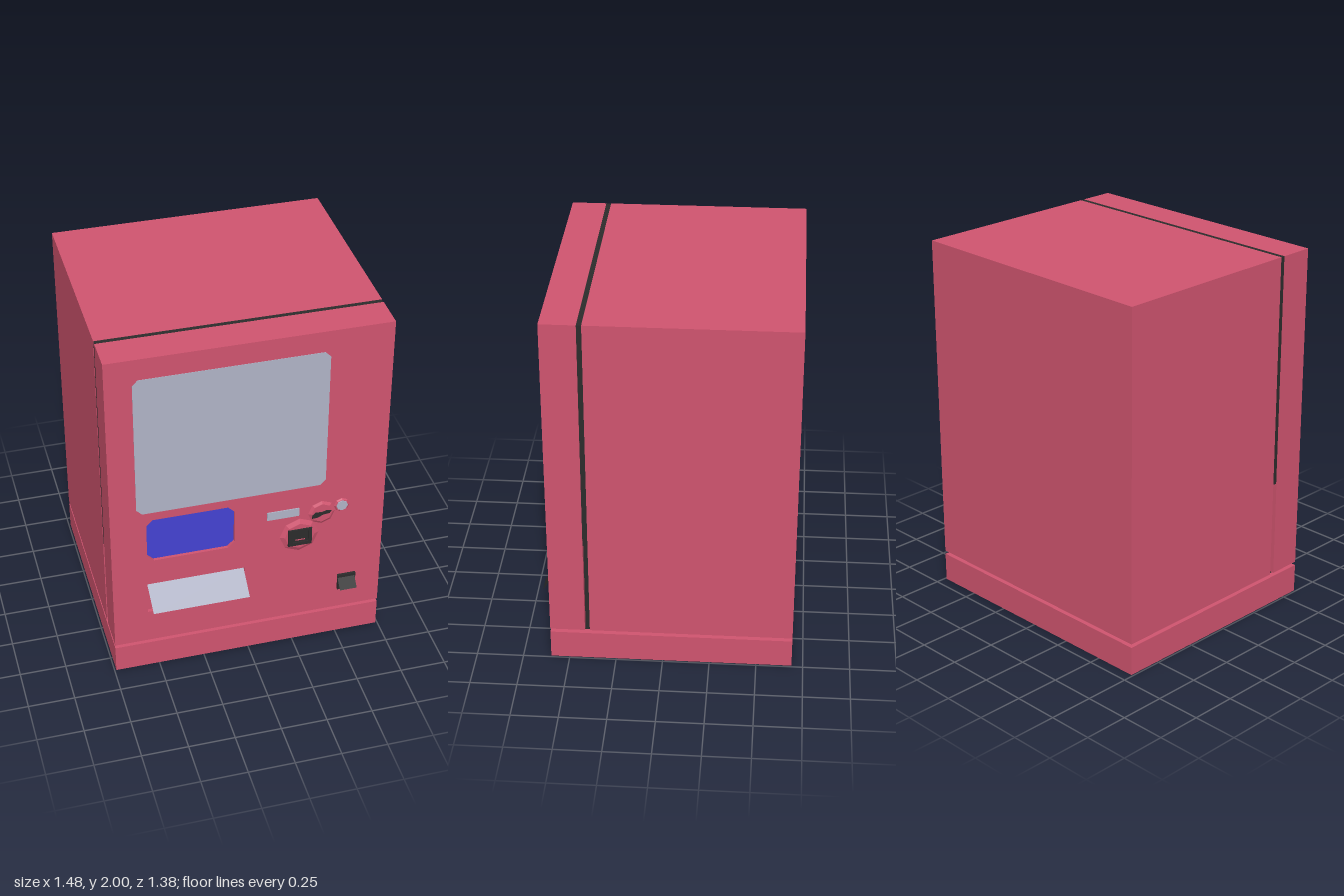
import * as THREE from 'three';

const mat = (name, color, side = THREE.FrontSide) => {
  const m = new THREE.MeshStandardMaterial({ color, side });
  m.name = name;
  return m;
};

export function createModel() {
  const group = new THREE.Group();
  const red = mat('red paint', 0xd0546f);
  const black = mat('black rubber', 0x2c2c2c, THREE.DoubleSide);
  const grey = mat('pale grey glass', 0xb0b3c6, THREE.DoubleSide);
  const blue = mat('blue panel', 0x4542d2);

  const add = (name, geometry, material) => {
    const mesh = new THREE.Mesh(geometry, material);
    mesh.name = name;
    group.add(mesh);
    return mesh;
  };
  // Box given by its limits on each axis
  const box = (name, x0, x1, y0, y1, z0, z1, material) =>
    add(name, new THREE.BoxGeometry(x1 - x0, y1 - y0, z1 - z0), material)
      .position.set((x0 + x1) / 2, (y0 + y1) / 2, (z0 + z1) / 2);
  // Corner points of a rectangle with cut corners
  const cutRect = (x0, x1, y0, y1, c) => [
    [x0 + c, y0], [x1 - c, y0], [x1, y0 + c], [x1, y1 - c],
    [x1 - c, y1], [x0 + c, y1], [x0, y1 - c], [x0, y0 + c],
  ].map(([x, y]) => new THREE.Vector2(x, y));
  const plate = (name, points, z, depth, material, holes = []) => {
    const shape = new THREE.Shape(points);
    shape.holes = holes.map((h) => new THREE.Path(h));
    add(name, new THREE.ExtrudeGeometry(shape, { depth, bevelEnabled: false }), material)
      .position.z = z;
  };
  // Eight-sided boss facing forward, tapering to the front
  const boss = (name, x, y, rBack, rFront, z0, z1, material) => {
    const g = new THREE.CylinderGeometry(rFront, rBack, z1 - z0, 8).toNonIndexed();
    g.rotateX(Math.PI / 2);
    g.computeVertexNormals();
    add(name, g, material).position.set(x, y, (z0 + z1) / 2);
  };
  // Thin tilted flap: top edge against the door, bottom edge swung out
  const flap = (name, x0, x1, yTop, yBottom, zOut, skew, material) => {
    const g = new THREE.PlaneGeometry(1, 1);
    const p = g.attributes.position;
    for (let i = 0; i < 4; i++) {
      const top = p.getY(i) > 0;
      const x = p.getX(i) < 0 ? x0 : x1;
      p.setXYZ(i, top ? x : x + skew, top ? yTop : yBottom, top ? 0.602 : zOut);
    }
    g.computeVertexNormals();
    add(name, g, material);
  };

  // Base, cabinet and the dark seams between them
  box('base', -0.74, 0.74, 0, 0.16, -0.69, 0.6, red);
  box('baseSeam', -0.705, 0.705, 0.16, 0.18, -0.66, 0.57, black);
  box('cabinet', -0.74, 0.74, 0.18, 2, -0.69, 0.388, red);
  box('doorSeamLower', -0.705, 0.705, 0.18, 0.72, 0.388, 0.414, black);
  box('doorSeamUpper', -0.738, 0.738, 0.72, 1.999, 0.388, 0.414, black);

  // Door with shallow recesses in its front skin
  const panel = cutRect(-0.55, -0.08, 0.73, 1.0, 0.035);
  const tray = cutRect(-0.555, -0.025, 0.38, 0.575, 0.001);
  box('door', -0.74, 0.74, 0.18, 2, 0.414, 0.58, red);
  plate('doorFront', cutRect(-0.74, 0.74, 0.18, 2, 0), 0.58, 0.02, red, [panel, tray]);
  plate('selectionPanel', panel, 0.58, 0.003, blue);
  plate('displayWindow', cutRect(-0.6, 0.41, 1.05, 1.88, 0.03), 0.598, 0.004, grey);

  // Delivery flap and coin return
  flap('deliveryFlap', -0.555, -0.03, 0.575, 0.44, 0.69, 0.012, grey);
  box('coinReturn', 0.5, 0.6, 0.31, 0.41, 0.6, 0.613, black);
  flap('coinReturnFlap', 0.497, 0.593, 0.41, 0.333, 0.65, 0.006, black);

  // Price display
  box('priceDisplay', 0.095, 0.27, 0.87, 0.92, 0.599, 0.606, grey);

  // Note acceptor with square frame and slot
  boss('noteBoss', 0.275, 0.737, 0.11, 0.082, 0.599, 0.612, red);
  plate('noteFrame', cutRect(0.21, 0.34, 0.68, 0.785, 0), 0.61, 0.01, black,
    [cutRect(0.235, 0.32, 0.7, 0.77, 0)]);
  box('noteMouth', 0.235, 0.32, 0.7, 0.77, 0.61, 0.614, black);
  box('noteSlot', 0.25, 0.303, 0.711, 0.717, 0.613, 0.616, red);

  // Coin slot with a curved handle
  boss('coinBoss', 0.395, 0.865, 0.076, 0.058, 0.599, 0.609, red);
  const handle = [[0.34, 0.84], [0.37, 0.842], [0.4, 0.857], [0.435, 0.86], [0.445, 0.875],
    [0.42, 0.88], [0.395, 0.872], [0.36, 0.875], [0.343, 0.86]];
  plate('coinHandle', handle.map(([x, y]) => new THREE.Vector2(x, y)), 0.608, 0.006, black);

  // Lock
  boss('lockRing', 0.505, 0.893, 0.044, 0.036, 0.599, 0.607, red);
  boss('lockFace', 0.505, 0.893, 0.033, 0.031, 0.604, 0.61, grey);

  return group;
}
